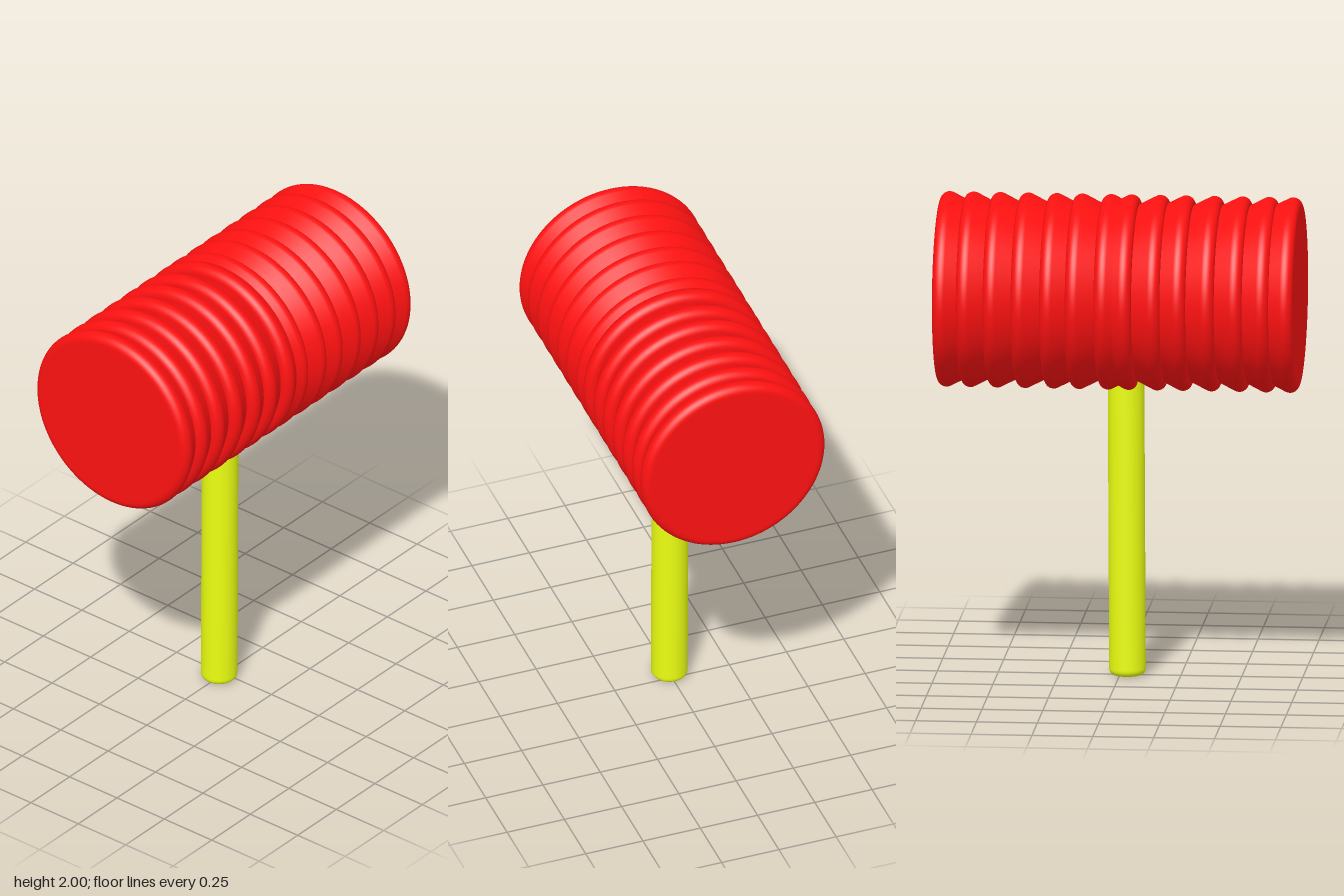
import * as THREE from 'three';

const red = new THREE.MeshStandardMaterial({ color: 0xff1111 });
const yellow = new THREE.MeshStandardMaterial({ color: 0xebff11 });

// Quarter-ish arc in a lathe profile: centre, radius, start and end angle in degrees
function arc(cx, cy, r, from, to, steps) {
  const points = [];
  for (let i = 0; i <= steps; i++) {
    const a = THREE.MathUtils.degToRad(from + ((to - from) * i) / steps);
    points.push(new THREE.Vector2(cx + r * Math.cos(a), cy + r * Math.sin(a)));
  }
  return points;
}

// One bellows ring: flat face, rounded rim, then a taper that tucks into the next ring
function ringGeometry() {
  const profile = [
    new THREE.Vector2(0, 0),
    new THREE.Vector2(0.36, 0),
    ...arc(0.365, 0.035, 0.035, -90, 27, 10),
    new THREE.Vector2(0.352, 0.138),
    new THREE.Vector2(0.35, 0.14),
    new THREE.Vector2(0, 0.14),
  ];
  return new THREE.LatheGeometry(profile, 96);
}

// Round stick with softened ends, rising from y = 0
function handleGeometry(radius, length, bevel) {
  const profile = [
    new THREE.Vector2(0, 0),
    new THREE.Vector2(radius - bevel - 0.004, 0),
    ...arc(radius - bevel, bevel, bevel, -90, 0, 6),
    new THREE.Vector2(radius, bevel + 0.004),
    new THREE.Vector2(radius, length - bevel - 0.004),
    ...arc(radius - bevel, length - bevel, bevel, 0, 90, 6),
    new THREE.Vector2(0, length),
  ];
  return new THREE.LatheGeometry(profile, 48);
}

export function createModel() {
  const model = new THREE.Group();
  model.name = 'squeakyMallet';

  // Head: two mirrored stacks of rings tapering towards the middle
  const head = new THREE.Group();
  head.name = 'head';
  head.position.y = 1.6;
  const ring = ringGeometry();
  const faces = [0.077, 0.195, 0.3, 0.417, 0.532, 0.642, 0.74];
  for (const side of [1, -1]) {
    faces.forEach((z, i) => {
      const mesh = new THREE.Mesh(ring, red);
      mesh.name = (side > 0 ? 'frontRing' : 'backRing') + (i + 1);
      mesh.rotation.x = (-side * Math.PI) / 2;
      mesh.position.z = side * z;
      head.add(mesh);
    });
  }
  model.add(head);

  // Handle: slightly forward of centre, leaning back a touch
  const handle = new THREE.Mesh(handleGeometry(0.075, 1.35, 0.025), yellow);
  handle.name = 'handle';
  handle.position.set(0, 0.003, 0.031);
  handle.rotation.x = -0.005;
  model.add(handle);

  return model;
}
